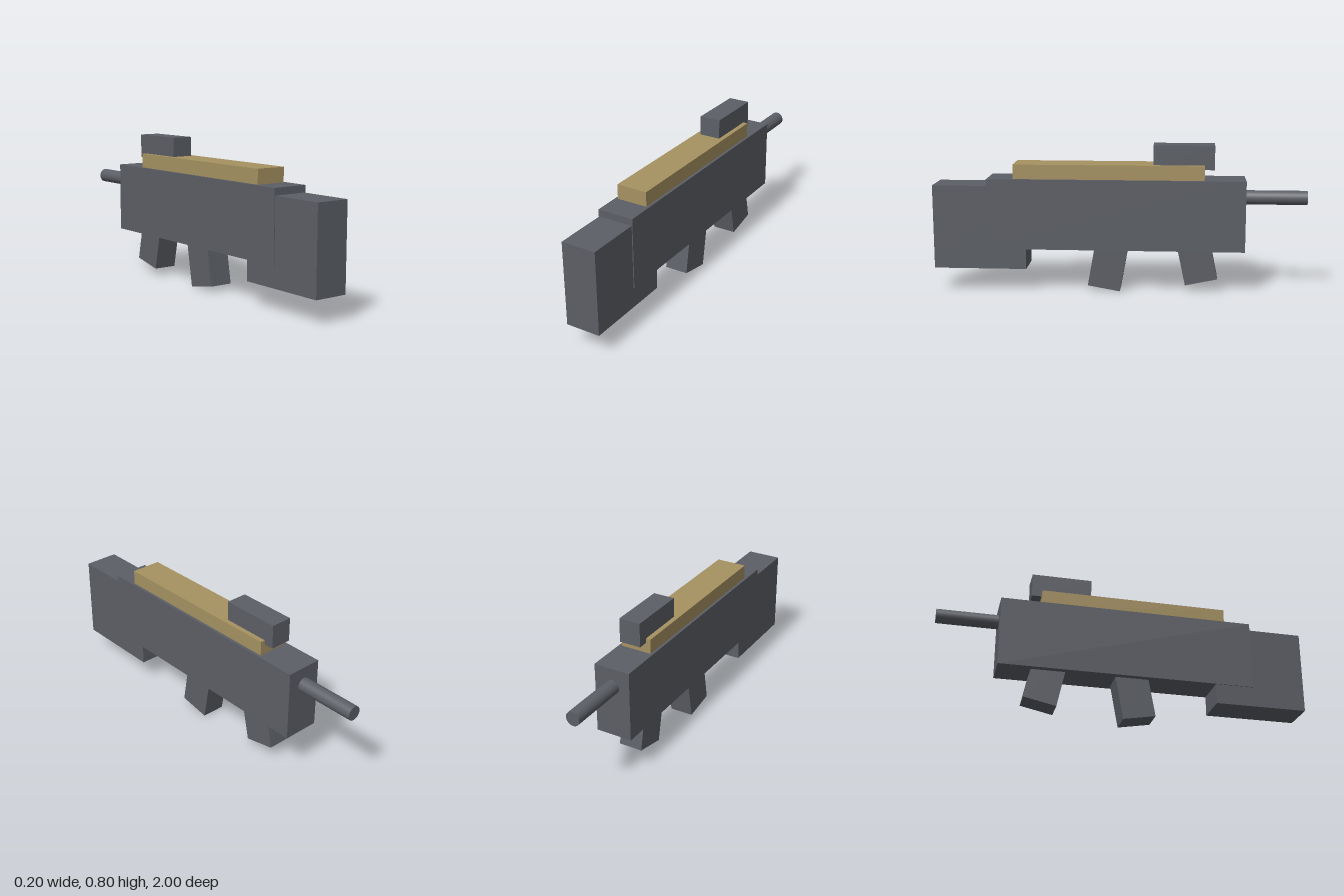
import * as THREE from 'three';

export function createModel() {
  const model = new THREE.Group();
  const gunmetal = new THREE.MeshStandardMaterial({ color: 0x5c5f66 });
  gunmetal.name = 'gunmetal';
  const tan = new THREE.MeshStandardMaterial({ color: 0xa69262 });
  tan.name = 'tan';

  function add(name, geometry, material) {
    const mesh = new THREE.Mesh(geometry, material);
    mesh.name = name;
    model.add(mesh);
    return mesh;
  }

  // Box given by its extents along each axis
  function block(name, [x0, x1], [y0, y1], [z0, z1], material) {
    const mesh = add(name, new THREE.BoxGeometry(x1 - x0, y1 - y0, z1 - z0), material);
    mesh.position.set((x0 + x1) / 2, (y0 + y1) / 2, (z0 + z1) / 2);
  }

  block('body', [-0.099, 0.098], [0.237, 0.617], [-0.672, 0.707], gunmetal);
  block('stock', [-0.095, 0.093], [0.127, 0.58], [0.5, 1], gunmetal);
  block('topRail', [-0.085, 0.083], [0.6, 0.695], [-0.453, 0.565], tan);
  block('sight', [-0.059, 0.057], [0.671, 0.8], [-0.506, -0.182], gunmetal);

  // Barrel along z
  const barrel = add('barrel', new THREE.CylinderGeometry(0.038, 0.038, 0.38, 32), gunmetal);
  barrel.rotation.x = Math.PI / 2;
  barrel.position.set(-0.002, 0.518, -0.81);

  // Slanted grips, placed by the centre of the bottom face
  function grip(name, y, z, degrees) {
    const geometry = new THREE.BoxGeometry(0.13, 0.3, 0.177).translate(0, 0.15, 0);
    const mesh = add(name, geometry, gunmetal);
    mesh.position.set(-0.001, y, z);
    mesh.rotation.x = THREE.MathUtils.degToRad(degrees);
  }
  grip('rearGrip', 0.0185, 0.082, -10);
  grip('frontGrip', 0.061, -0.443, 12);

  return model;
}
